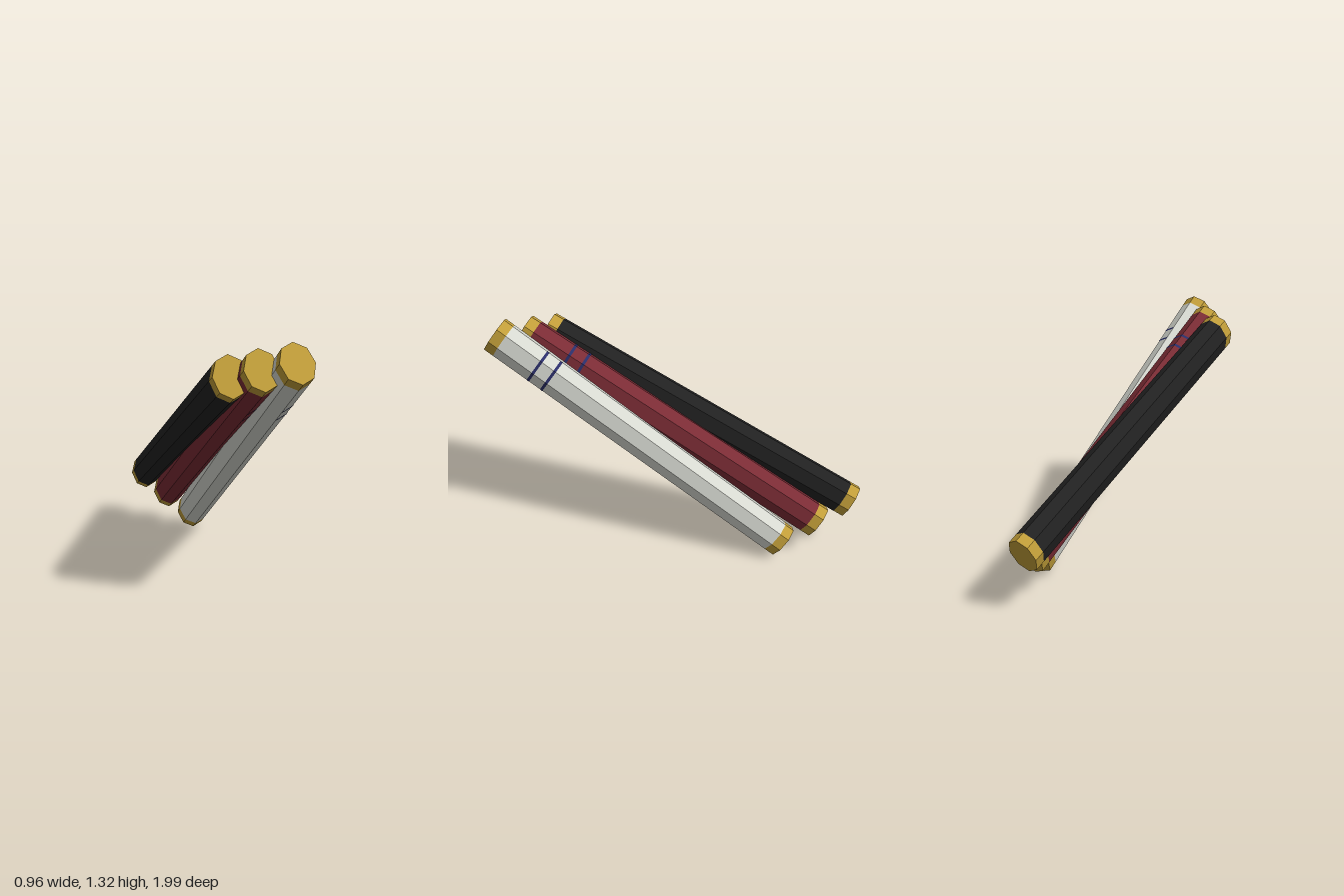
import * as THREE from 'three';

const flat = (name, color, side = THREE.FrontSide) => {
  const m = new THREE.MeshStandardMaterial({ color, flatShading: true, side });
  m.name = name;
  return m;
};

const HALF_WIDTH = 0.093, HALF_HEIGHT = 0.115, CAP = 0.06, BACK_TAPER = 0.93;

export function createModel() {
  const model = new THREE.Group();
  model.name = 'fannedRods';

  const gold = flat('gold', 0xc4a03a);
  const navy = flat('navy', 0x2b2f6b, THREE.DoubleSide);

  // Eight-sided, slightly oval section of a rod running from z0 to z1
  function section(name, material, length, z0, z1, { grow = 1, open = false, faces = 8 } = {}) {
    const radius = (z) => grow * (BACK_TAPER + (1 - BACK_TAPER) * z / length);
    const geo = new THREE.CylinderGeometry(
      radius(z1), radius(z0), z1 - z0, faces, 1, open, 0, faces * Math.PI / 4);
    geo.rotateX(Math.PI / 2);
    geo.scale(HALF_WIDTH, HALF_HEIGHT, 1);
    geo.translate(0, 0, (z0 + z1) / 2);
    const mesh = new THREE.Mesh(geo, material);
    mesh.name = name;
    return mesh;
  }

  // One rod: coloured shaft, gold caps and optional thin bands
  function rod(name, material, back, front, bandFaces) {
    const group = new THREE.Group();
    group.name = name;
    const start = new THREE.Vector3(...back), end = new THREE.Vector3(...front);
    const len = start.distanceTo(end);
    group.position.copy(start);
    group.lookAt(end);
    group.add(
      section('shaft', material, len, CAP, len - CAP, { open: true }),
      section('backCap', gold, len, 0, CAP),
      section('frontCap', gold, len, len - CAP, len));
    if (bandFaces) {
      for (const d of [0.295, 0.385]) {
        group.add(section('band', navy, len, len - d - 0.008, len - d + 0.008,
          { grow: 1.015, open: true, faces: bandFaces }));
      }
    }
    model.add(group);
  }

  rod('blackRod', flat('black', 0x222222), [-0.395, 0.294, -0.95], [0.084, 1.148, 0.81], 0);
  rod('redRod', flat('darkRed', 0x7d2d36), [-0.245, 0.192, -0.82], [0.23, 1.185, 0.867], 5);
  rod('whiteRod', flat('offWhite', 0xd9dbd3), [-0.09, 0.092, -0.675], [0.392, 1.224, 0.932], 4);

  return model;
}
